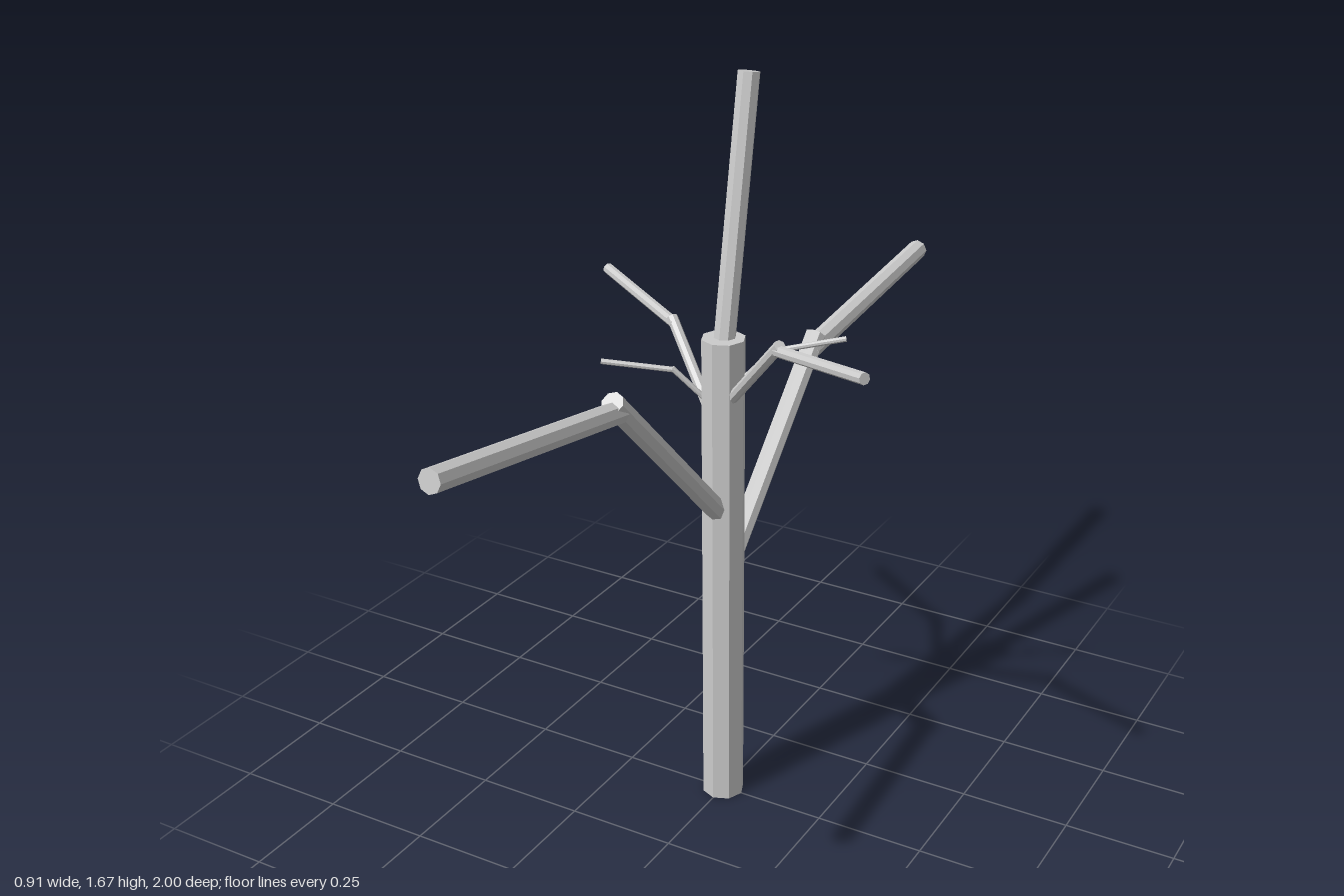
import * as THREE from 'three';

const material = new THREE.MeshStandardMaterial({ color: 0xcccccc, flatShading: true });
const UP = new THREE.Vector3(0, 1, 0);

// Straight eight-sided limb between two points
function limb(name, from, to, radius) {
  const direction = to.clone().sub(from);
  const mesh = new THREE.Mesh(new THREE.CylinderGeometry(radius, radius, direction.length(), 8), material);
  mesh.name = name;
  mesh.position.copy(from).add(to).multiplyScalar(0.5);
  mesh.quaternion.setFromUnitVectors(UP, direction.normalize());
  return mesh;
}

// Bent branch: a steep limb leaving the trunk, then a flatter outer limb.
// Profile points are [distance from trunk axis, height]; angle turns from +z towards +x.
function branch(name, angle, radius, [start, knee, bend, tip]) {
  const a = THREE.MathUtils.degToRad(angle);
  const at = ([r, y]) => new THREE.Vector3(r * Math.sin(a), y, r * Math.cos(a));
  const group = new THREE.Group();
  group.name = name;
  group.add(
    limb('innerLimb', at(start), at(knee), radius),
    limb('outerLimb', at(bend), at(tip), radius)
  );
  return group;
}

export function createModel() {
  const tree = new THREE.Group();
  tree.name = 'bareTree';

  // Trunk and the leaning leader above it
  tree.add(limb('trunk', new THREE.Vector3(0, 0, 0), new THREE.Vector3(0, 1.125, 0), 0.048));
  tree.add(limb('topLimb', new THREE.Vector3(0, 1.09, 0), new THREE.Vector3(0, 1.664, -0.105), 0.024));

  // Two large branches, front and back
  tree.add(branch('frontBranch', 0, 0.024, [[0.01, 0.717], [0.432, 1.139], [0.41, 1.112], [0.996, 1.21]]));
  tree.add(branch('backBranch', 180, 0.024, [[0.01, 0.562], [0.432, 0.986], [0.4, 0.958], [0.997, 1.023]]));

  // Two medium branches
  tree.add(branch('leftBranch', 60, 0.0125, [[0, 0.965], [0.22, 1.182], [0.21, 1.167], [0.515, 1.217]]));
  tree.add(branch('rightBranch', -120, 0.0125, [[0, 0.88], [0.22, 1.1], [0.205, 1.088], [0.52, 1.12]]));

  // Two thin twigs
  tree.add(branch('leftTwig', 120, 0.006, [[0, 0.99], [0.113, 1.103], [0.107, 1.095], [0.257, 1.121]]));
  tree.add(branch('rightTwig', -60, 0.006, [[0, 0.948], [0.108, 1.057], [0.103, 1.053], [0.257, 1.073]]));

  return tree;
}
